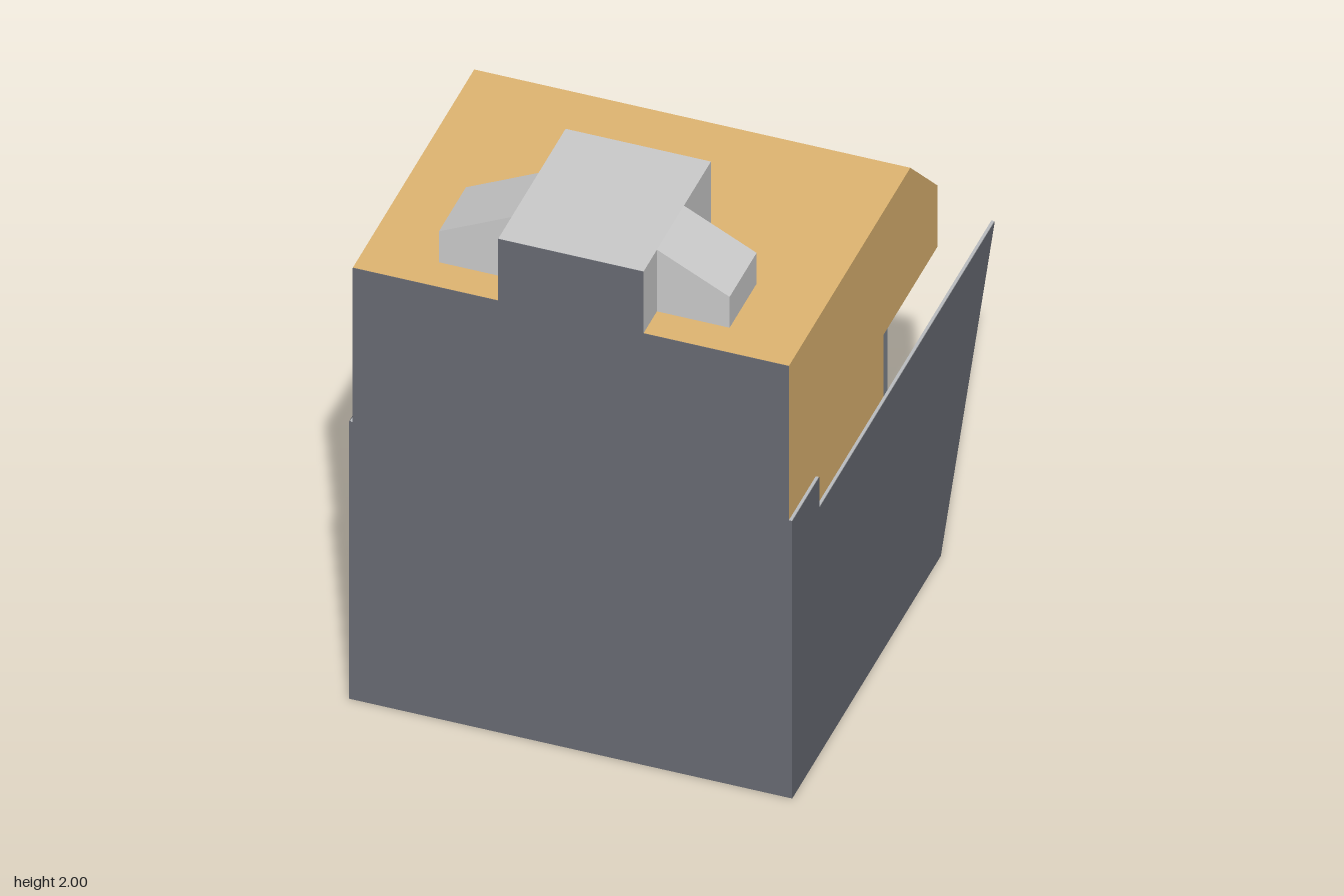
import * as THREE from 'three';

const mat = (color) => new THREE.MeshStandardMaterial({ color, flatShading: true, side: THREE.DoubleSide });
const toShape = (pts) => new THREE.Shape(pts.map(([a, b]) => new THREE.Vector2(a, b)));

// Extrude a [z, y] side profile across x, centred on x = cx.
function sideExtrude(pts, width, cx = 0) {
  const geo = new THREE.ExtrudeGeometry(toShape(pts), { depth: width, bevelEnabled: false });
  return geo.translate(0, 0, -width / 2).rotateY(-Math.PI / 2).translate(cx, 0, 0);
}

// Flat sheet with a [z, y] outline at a given x.
const sideSheet = (pts, x) => new THREE.ShapeGeometry(toShape(pts)).rotateY(-Math.PI / 2).translate(x, 0, 0);

// Extrude a [x, y] front profile from z0 to z1.
const frontExtrude = (pts, z0, z1) =>
  new THREE.ExtrudeGeometry(toShape(pts), { depth: z1 - z0, bevelEnabled: false }).translate(0, 0, z0);

export function createModel() {
  const group = new THREE.Group();
  const dark = mat(0x686b73), medium = mat(0x80868e), light = mat(0xbbbdc0);
  const grey = mat(0xcccccc), gold = mat(0xdfb571);
  const add = (name, geo, material) => {
    const mesh = new THREE.Mesh(geo, material);
    mesh.name = name;
    group.add(mesh);
  };
  const F = 0.9375; // front plane

  // Main shell with overhanging back and sloping underside
  add('shell', sideExtrude([
    [F - 0.002, 0], [0.8125, 0], [0.0625, 0.3], [0.0625, 1.25], [-0.435, 1.25],
    [-0.435, 1.499], [-0.1875, 1.747], [F - 0.002, 1.747],
  ], 1.496), light);

  // Narrower inner block under the overhang
  add('innerBlock', sideExtrude([[0.08, 0.42], [-0.3125, 0.5], [-0.3125, 1.25], [0.08, 1.25]], 1.25), medium);

  // Golden roof skin: top, chamfer and back
  add('roof', sideExtrude([
    [F - 0.002, 1.75], [-0.1875, 1.75], [-0.4375, 1.5], [-0.4375, 1.25],
    [-0.435, 1.25], [-0.435, 1.499], [-0.1865, 1.747], [F - 0.002, 1.747],
  ], 1.5), gold);

  const goldSide = [
    [F, 1], [0.0625, 1], [0.0625, 1.25], [-0.4375, 1.25], [-0.4375, 1.5], [-0.1875, 1.75], [F, 1.75],
  ];
  const plate = [[F, 0], [-0.4375, 0], [-F, 1], [0.6875, 1], [0.6875, 1.125], [F, 1.125]];

  for (const [side, s] of [['left', 1], ['right', -1]]) {
    add(side + 'GoldSide', sideSheet(goldSide, s * 0.75), gold);
    // Thin flared side plate, light inside and dark outside
    add(side + 'Plate', sideExtrude(plate, 0.01, s * 0.755), light);
    add(side + 'PlateFace', sideSheet(plate, s * 0.762), dark);
    // Sloped arm of the crest
    add(side + 'CrestArm', frontExtrude(
      [[s * 0.25, 1.75], [s * 0.5, 1.75], [s * 0.5, 1.875], [s * 0.25, 2]], 0.5625, 0.8125), grey);
  }

  // Crest on top
  const crest = new THREE.BoxGeometry(0.5, 0.25, 0.623);
  add('crest', crest.translate(0, 1.875, 0.624), grey);

  // Dark front face, stepped up over the crest
  add('frontFace', frontExtrude([
    [-0.762, 0], [0.762, 0], [0.762, 1.125], [0.75, 1.125], [0.75, 1.75], [0.25, 1.75],
    [0.25, 2], [-0.25, 2], [-0.25, 1.75], [-0.75, 1.75], [-0.75, 1.125], [-0.762, 1.125],
  ], F - 0.0015, F + 0.0005), dark);

  return group;
}
